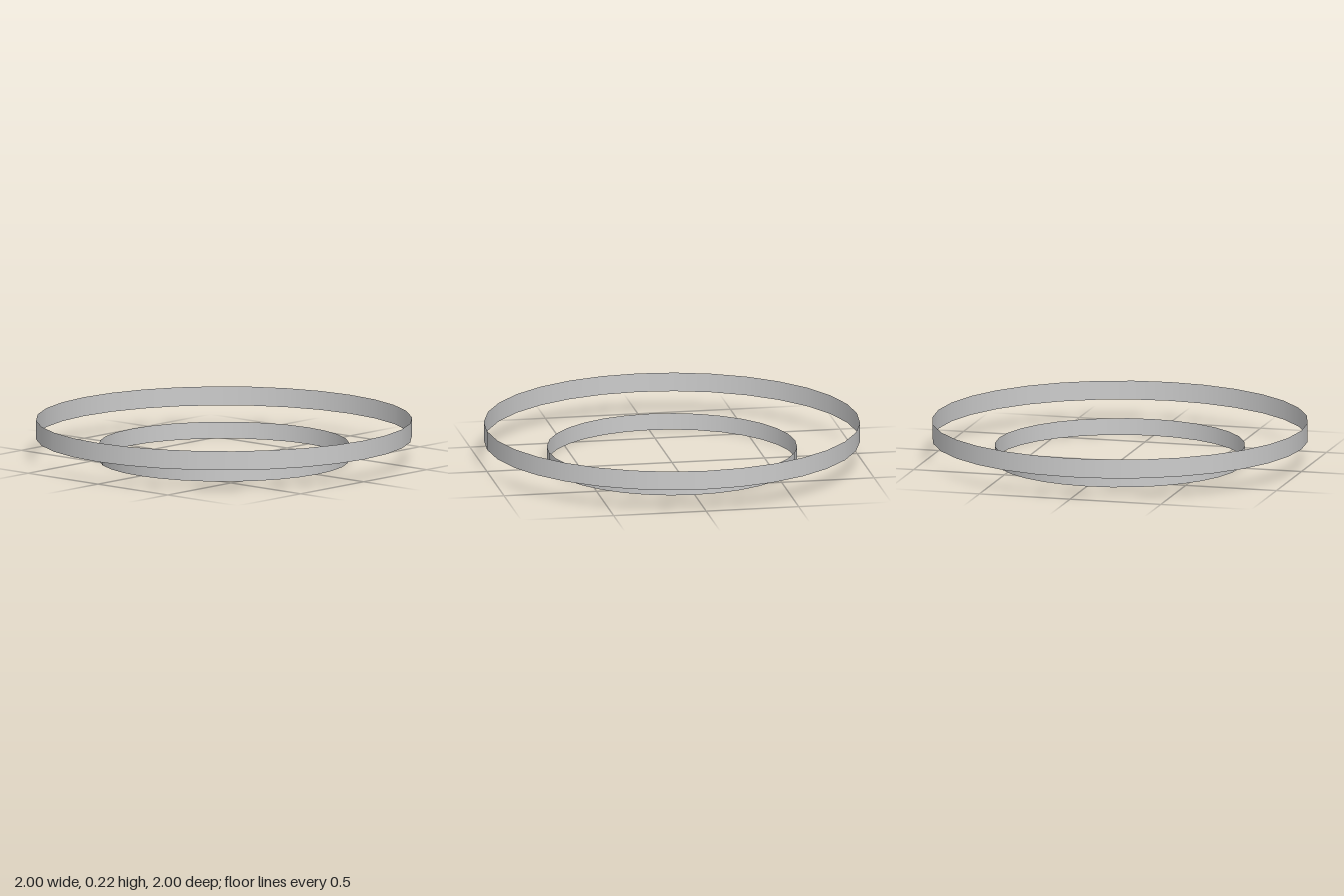
import * as THREE from 'three';

const material = new THREE.MeshStandardMaterial({ color: 0xcccccc, side: THREE.DoubleSide });

// Thin open band standing upright, from height y0 to y1
function band(name, radius, y0, y1) {
  const geometry = new THREE.CylinderGeometry(radius, radius, y1 - y0, 32, 1, true);
  const mesh = new THREE.Mesh(geometry, material);
  mesh.name = name;
  mesh.position.y = (y0 + y1) / 2;
  return mesh;
}

export function createModel() {
  const group = new THREE.Group();
  group.name = 'concentricBands';
  group.add(
    band('lowerInnerBand', 0.665, 0, 0.09),
    band('upperOuterBand', 1, 0.12, 0.222),
  );
  return group;
}
